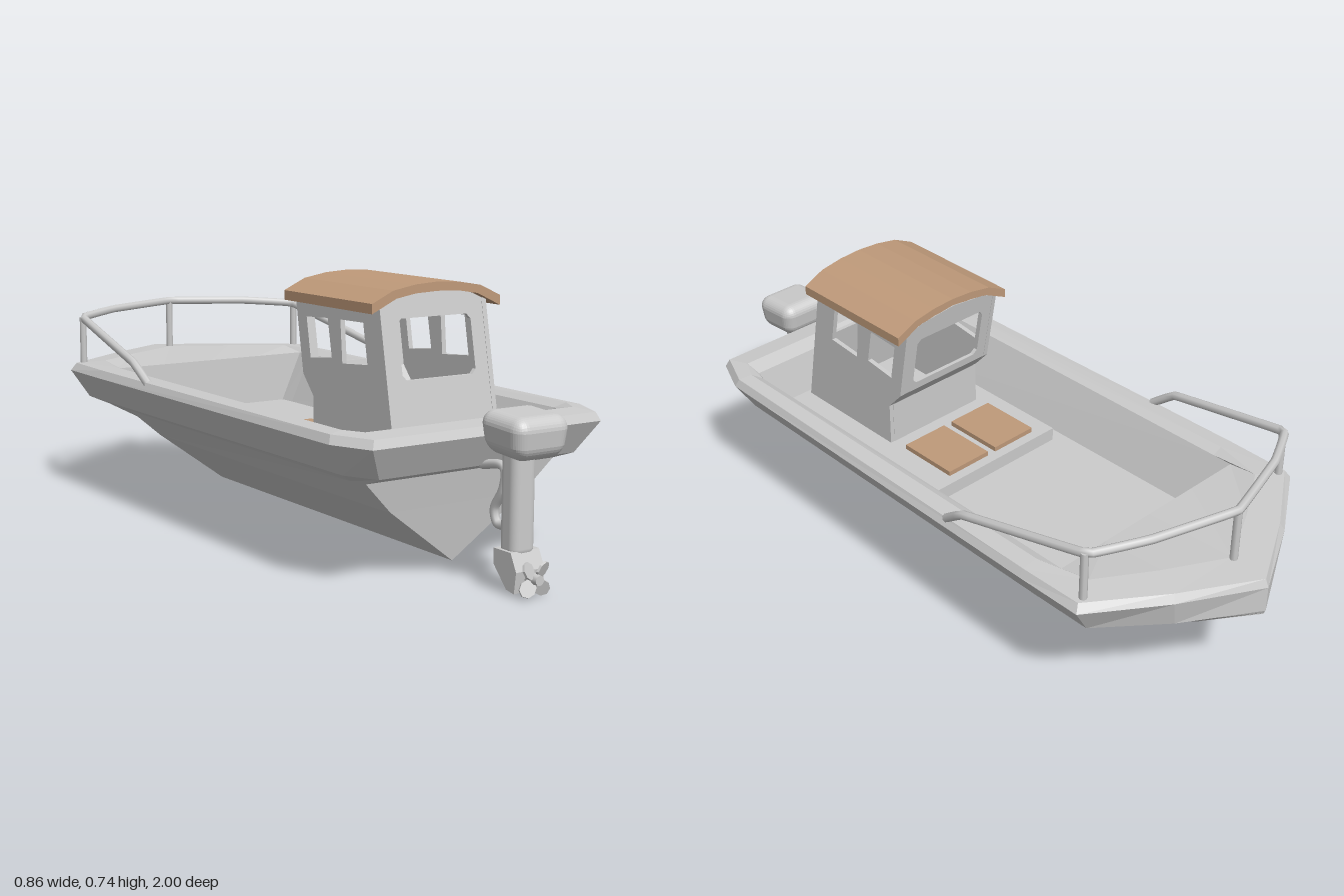
import * as THREE from 'three';
import { RoundedBoxGeometry } from 'three/addons/geometries/RoundedBoxGeometry.js';

const grey = new THREE.MeshStandardMaterial({ color: 0xcccccc, flatShading: true, side: THREE.DoubleSide });
const smooth = new THREE.MeshStandardMaterial({ color: 0xcccccc });
const tan = new THREE.MeshStandardMaterial({ color: 0xbf9a7a, flatShading: true });

const CX = 0.006; // cabin centre line

function add(parent, name, geometry, material = grey, x = 0, y = 0, z = 0) {
  const mesh = new THREE.Mesh(geometry, material);
  mesh.name = name;
  mesh.position.set(x, y, z);
  parent.add(mesh);
  return mesh;
}

const polygon = (pts, Type = THREE.Shape) => new Type(pts.map(p => new THREE.Vector2(...p)));

function extrude(pts, depth, holes = []) {
  const shape = polygon(pts);
  shape.holes = holes.map(h => polygon(h, THREE.Path));
  return new THREE.ExtrudeGeometry(shape, { depth, bevelEnabled: false });
}

// Outline drawn as (z, y), given a thickness across x
function sideExtrude(pts, width, holes) {
  return extrude(pts, width, holes).rotateY(-Math.PI / 2).translate(width / 2, 0, 0);
}

// Rectangle with cut corners
function cutRect(x0, y0, x1, y1, c) {
  return [[x0 + c, y0], [x1 - c, y0], [x1, y0 + c], [x1, y1 - c],
    [x1 - c, y1], [x0 + c, y1], [x0, y1 - c], [x0, y0 + c]];
}

function tube(pts, radius, tension) {
  const curve = new THREE.CatmullRomCurve3(pts.map(p => new THREE.Vector3(...p)), false, 'catmullrom', tension);
  return new THREE.TubeGeometry(curve, 60, radius, 8);
}

// Skin through half outlines (stern centre to bow tip), mirrored across x
function loftMirrored(rows) {
  const rings = rows.map(r => [...r, ...r.slice(1, -1).reverse().map(([x, y, z]) => [-x, y, z])]);
  const n = rings[0].length, index = [];
  for (let r = 0; r < rings.length - 1; r++) {
    for (let c = 0; c < n; c++) {
      const a = r * n + c, b = r * n + (c + 1) % n;
      index.push(a, b, b + n, a, b + n, a + n);
    }
  }
  const geometry = new THREE.BufferGeometry();
  geometry.setAttribute('position', new THREE.Float32BufferAttribute(rings.flat(2), 3));
  geometry.setIndex(index);
  geometry.computeVertexNormals();
  return geometry;
}

// One outline: x and z at the stern, side and bow stations, level in y unless the bow rises
function outline(y, stern, aft, mid, shoulder, bow, tip, tipY = y) {
  return [[0, y, stern[1]], [stern[0], y, stern[1]], [aft[0], y, aft[1]], [mid[0], y, mid[1]],
    [shoulder[0], y, shoulder[1]], [bow[0], (y + tipY) / 2, bow[1]], [0, tipY, tip]];
}

function buildHull(boat) {
  const keel = [[0, 0.03, 0.66], [0, 0.03, 0.66], [0, 0.03, 0.6], [0, 0.03, -0.54],
    [0, 0.13, -0.73], [0, 0.21, -0.86], [0, 0.295, -0.99]];
  const bilge = [[0, 0.19, 0.685], [0.215, 0.19, 0.685], [0.22, 0.19, 0.64], [0.22, 0.19, -0.54],
    [0.19, 0.21, -0.72], [0.1, 0.25, -0.865], [0, 0.297, -0.995]];
  add(boat, 'hull', loftMirrored([
    keel,
    bilge,
    outline(0.275, [0.3, 0.7], [0.31, 0.65], [0.32, -0.54], [0.315, -0.7], [0.17, -0.86], -0.995, 0.3),
    outline(0.3, [0.31, 0.77], [0.355, 0.68], [0.37, -0.54], [0.37, -0.725], [0.2, -0.87], -1, 0.31),
    outline(0.385, [0.36, 0.815], [0.408, 0.7], [0.425, -0.54], [0.425, -0.74], [0.22, -0.88], -1),
    outline(0.408, [0.35, 0.805], [0.398, 0.69], [0.413, -0.54], [0.41, -0.73], [0.21, -0.87], -0.99),
    outline(0.414, [0.33, 0.74], [0.36, 0.68], [0.365, -0.54], [0.33, -0.69], [0.17, -0.79], -0.88),
    outline(0.4, [0.325, 0.69], [0.335, 0.66], [0.335, -0.54], [0.335, -0.6], [0.17, -0.6], -0.6),
    outline(0.25, [0.262, 0.66], [0.262, 0.62], [0.265, -0.54], [0.262, -0.592], [0.13, -0.592], -0.592),
    outline(0.25, [0, 0.66], [0, 0.62], [0, -0.54], [0, -0.592], [0, -0.592], -0.592),
  ]));
}

function buildRail(boat) {
  const side = [[0.408, 0.405, -0.245], [0.417, 0.46, -0.32], [0.385, 0.549, -0.73], [0.24, 0.56, -0.81]];
  const path = [...side, [0, 0.566, -0.885], ...side.map(([x, y, z]) => [-x, y, z]).reverse()];
  add(boat, 'bowRail', tube(path, 0.0125, 0.05), smooth);
  for (const [x, y, z] of [[0.387, 0.55, -0.725], [-0.387, 0.55, -0.725], [0, 0.565, -0.885]]) {
    add(boat, 'railPost', new THREE.CylinderGeometry(0.011, 0.011, y - 0.4, 8), smooth, x, (y + 0.4) / 2, z);
  }
}

// Cross-wise cabin wall leaning from (y0, z0) to (y1, z1)
function leaningWall(pts, y0, z0, y1, z1, holes) {
  const geometry = extrude(pts, 0.012, holes);
  const p = geometry.attributes.position;
  for (let i = 0; i < p.count; i++) {
    p.setZ(i, p.getZ(i) - 0.006 + z0 + (z1 - z0) * (p.getY(i) - y0) / (y1 - y0));
  }
  geometry.computeVertexNormals();
  return geometry;
}

function buildCabin(boat) {
  const cabin = new THREE.Group();
  cabin.name = 'cabin';
  cabin.position.x = CX;
  boat.add(cabin);

  // Raised platform with two hatches ahead of the cabin
  add(cabin, 'platform', new THREE.BoxGeometry(0.46, 0.045, 0.67), grey, 0, 0.268, 0.315);
  for (const s of [-1, 1]) {
    add(cabin, 'hatch', new THREE.BoxGeometry(0.15, 0.016, 0.19), tan, s * 0.09 - 0.005, 0.297, 0.105);
  }

  // Side walls with two slanted windows each
  const wall = [[0.637, 0.285], [0.56, 0.695], [0.165, 0.695], [0.205, 0.475], [0.255, 0.42], [0.255, 0.285]];
  const windows = [
    [[0.51, 0.535], [0.49, 0.642], [0.385, 0.64], [0.395, 0.525]],
    [[0.345, 0.535], [0.325, 0.638], [0.222, 0.632], [0.242, 0.522]],
  ];
  for (const s of [-1, 1]) add(cabin, 'sideWall', sideExtrude(wall, 0.014, windows), grey, s * 0.164);

  // End walls between the sides, arched to meet the roof
  const w = 0.158;
  const arch = [[w, 0.695], [0.12, 0.712], [0, 0.726], [-0.12, 0.712], [-w, 0.695]];
  const rect = (y0, y1) => [[-w, y0], [w, y0], [w, y1], [-w, y1]];
  add(cabin, 'aftWall', leaningWall([[-w, 0.285], [w, 0.285], ...arch],
    0.285, 0.63, 0.695, 0.553, [cutRect(-0.12, 0.5, 0.115, 0.656, 0.013)]));
  add(cabin, 'windscreenFrame', leaningWall([[-w, 0.475], [w, 0.475], ...arch],
    0.475, 0.212, 0.695, 0.172, [cutRect(-0.125, 0.5, 0.125, 0.656, 0.013)]));
  add(cabin, 'frontLedge', leaningWall(rect(0.42, 0.475), 0.42, 0.26, 0.475, 0.212));
  add(cabin, 'frontPanel', leaningWall(rect(0.285, 0.42), 0.285, 0.26, 0.42, 0.26));

  // Arched roof
  const top = [[0.205, 0.7], [0.14, 0.73], [0.07, 0.742], [0, 0.746]];
  const under = [[0, 0.722], [0.07, 0.719], [0.13, 0.709], [0.205, 0.674]];
  const mirror = pts => pts.map(([x, y]) => [-x, y]).reverse();
  add(cabin, 'roof', extrude([...top, ...mirror(top).slice(1), ...mirror(under), ...under.slice(1)], 0.415),
    tan, 0, 0, 0.163);
}

function buildMotor(boat) {
  const motor = new THREE.Group();
  motor.name = 'outboardMotor';
  motor.position.x = 0.014;
  boat.add(motor);

  // Cowl narrowing towards its base
  const cowl = new RoundedBoxGeometry(0.168, 0.108, 0.16, 4, 0.034);
  const p = cowl.attributes.position;
  for (let i = 0; i < p.count; i++) {
    const k = p.getY(i) < 0 ? 1 + p.getY(i) * 3 : 1;
    p.setXYZ(i, p.getX(i) * k, p.getY(i) - p.getZ(i) * 0.06, p.getZ(i) * k);
  }
  cowl.computeVertexNormals();
  add(motor, 'cowl', cowl, smooth, 0, 0.405, 0.92);

  add(motor, 'leg', new RoundedBoxGeometry(0.072, 0.28, 0.068, 3, 0.024), smooth, 0, 0.235, 0.9);
  add(motor, 'gearcase', sideExtrude([[0.865, 0.115], [0.865, 0.075], [0.915, 0.02], [0.945, 0.015],
    [0.952, 0.07], [0.93, 0.115]], 0.09));

  // Propeller
  add(motor, 'propellerHub', new THREE.CylinderGeometry(0.013, 0.016, 0.04, 10).rotateX(Math.PI / 2), smooth, 0, 0.052, 0.968);
  for (let i = 0; i < 4; i++) {
    const blade = new THREE.CylinderGeometry(0.021, 0.021, 0.006, 8).rotateX(Math.PI / 2)
      .scale(1, 1.15, 1).rotateY(0.45).translate(0, 0.031, 0).rotateZ(Math.PI / 4 - 0.05 + i * Math.PI / 2);
    add(motor, 'propellerBlade', blade, grey, 0, 0.052, 0.97);
  }

  // Bent mounting pipe to the stern
  add(motor, 'mountPipe', tube([[0, 0.3, 0.76], [0, 0.312, 0.83], [0, 0.295, 0.85], [0, 0.25, 0.842],
    [0, 0.2, 0.812], [0, 0.165, 0.82], [0, 0.16, 0.845], [0, 0.175, 0.88]], 0.012, 0.5), smooth);
}

export function createModel() {
  const boat = new THREE.Group();
  boat.name = 'motorBoat';
  buildHull(boat);
  buildRail(boat);
  buildCabin(boat);
  buildMotor(boat);
  return boat;
}
